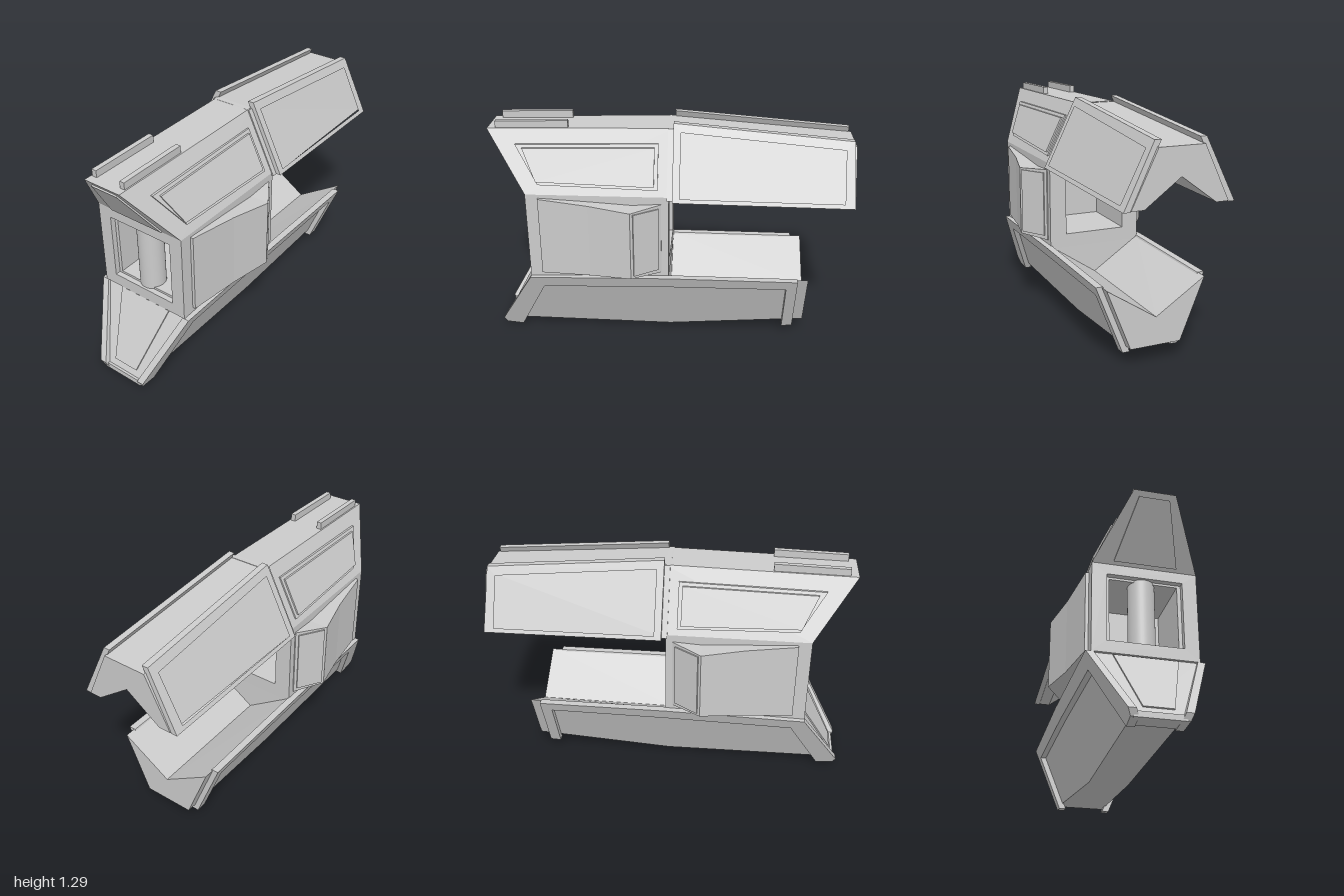
import * as THREE from 'three';
import { ConvexGeometry } from 'three/addons/geometries/ConvexGeometry.js';

const grey = new THREE.MeshStandardMaterial({ color: 0xcccccc, flatShading: true });
const smooth = new THREE.MeshStandardMaterial({ color: 0xcccccc });

// Solid through cross-sections, ordered back to front, each counterclockwise seen from +z
function loft(sections) {
  const pos = [];
  const tri = (...p) => p.forEach((v) => pos.push(...v));
  const n = sections[0].length;
  for (let i = 0; i + 1 < sections.length; i++) {
    for (let j = 0; j < n; j++) {
      const k = (j + 1) % n, s = sections[i], e = sections[i + 1];
      tri(s[j], s[k], e[k]);
      tri(s[j], e[k], e[j]);
    }
  }
  const cap = (s, back) => {
    const contour = s.map((p) => new THREE.Vector2(p[0], p[1]));
    for (const [a, b, c] of THREE.ShapeUtils.triangulateShape(contour, [])) {
      if (back) tri(s[a], s[c], s[b]); else tri(s[a], s[b], s[c]);
    }
  };
  cap(sections[0], true);
  cap(sections[sections.length - 1], false);
  const g = new THREE.BufferGeometry();
  g.setAttribute('position', new THREE.Float32BufferAttribute(pos, 3));
  g.computeVertexNormals();
  return g;
}

const toPath = (pts, Type) => new Type(pts.map(([a, b]) => new THREE.Vector2(a, b)));

function extrude(pts, hole, depth) {
  const shape = toPath(pts, THREE.Shape);
  if (hole) shape.holes.push(toPath(hole, THREE.Path));
  return new THREE.ExtrudeGeometry(shape, { depth, bevelEnabled: false });
}

// Side plate drawn in (z, y), laid on the sloping side x = base(y, z)
function sidePlate(pts, hole, base, depth) {
  const flip = (l) => l && l.map(([z, y]) => [-z, y]);
  const g = extrude(flip(pts), flip(hole), depth);
  const p = g.attributes.position;
  for (let i = 0; i < p.count; i++) {
    const z = -p.getX(i), y = p.getY(i);
    p.setXYZ(i, base(y, z) + p.getZ(i), y, z);
  }
  g.computeVertexNormals();
  return g;
}

// Mirror image in x of a geometry, with the corner order restored
function mirrored(geometry) {
  const g = geometry.index ? geometry.toNonIndexed() : geometry.clone();
  const p = g.attributes.position, a = new THREE.Vector3(), b = new THREE.Vector3();
  for (let i = 0; i < p.count; i += 3) {
    a.fromBufferAttribute(p, i + 1);
    b.fromBufferAttribute(p, i + 2);
    p.setXYZ(i, -p.getX(i), p.getY(i), p.getZ(i));
    p.setXYZ(i + 1, -b.x, b.y, b.z);
    p.setXYZ(i + 2, -a.x, a.y, a.z);
  }
  g.computeVertexNormals();
  return g;
}

const hull = (pts) => new ConvexGeometry(pts.map((p) => new THREE.Vector3(...p)));
const slab = (pts, d) => hull([...pts, ...pts.map((p) => p.map((v, i) => v + d[i]))]);
const bothSides = (pts) => pts.flatMap(([x, y, z]) => [[x, y, z], [-x, y, z]]);
const rect = (x, y0, y1) => [[-x, y0], [x, y0], [x, y1], [-x, y1]];

export function createModel() {
  const model = new THREE.Group();
  model.name = 'model';
  const add = (name, geometry, material = grey) => {
    const mesh = new THREE.Mesh(geometry, material);
    mesh.name = name;
    model.add(mesh);
    return mesh;
  };
  const addPair = (name, geometry) => {
    add(name + 'Left', geometry);
    add(name + 'Right', mirrored(geometry));
  };

  // Upper hull with sloping sides and an overhanging nose
  add('upperHull', hull(bothSides([
    [0.11, 1.235, 1], [0.11, 1.255, -0.02], [0.275, 0.92, 0.78], [0.275, 0.92, 0],
  ])));
  const noseZ = (y) => 0.78 + 0.22 * (y - 0.92) / 0.315;
  add('nosePanel', slab(bothSides([
    [0.08, 1.21, noseZ(1.21)], [0.165, 0.935, noseZ(0.935)],
  ]), [0, -0.005, 0.007]));
  const upperSide = (y) => 0.11 + 0.49 * (1.25 - y);
  addPair('upperHullPanel', sidePlate(
    [[0.84, 1.165], [0.06, 1.18], [0.06, 0.955], [0.71, 0.97]], null, upperSide, 0.012));
  addPair('upperHullInnerPanel', sidePlate(
    [[0.80, 1.15], [0.08, 1.163], [0.08, 0.972], [0.72, 0.987]], null, upperSide, 0.022));

  // Middle block, open at front and back, with a wall halfway
  const block = rect(0.275, 0.42, 0.92);
  add('middleBlock', extrude(block, rect(0.178, 0.5, 0.85), 0.75));
  add('windowFrame', extrude(block, rect(0.198, 0.487, 0.862), 0.03)).position.z = 0.75;
  const wall = add('innerWall', new THREE.BoxGeometry(0.4, 0.4, 0.04));
  wall.position.set(0, 0.67, 0.4);
  const column = add('column', new THREE.CylinderGeometry(0.07, 0.07, 0.37, 40), smooth);
  column.position.set(0, 0.675, 0.7);

  // Pointed side pods
  const pod = [[0.04, 0.28, 0.465, 0.88], [0.2, 0.385, 0.475, 0.87],
    [0.43, 0.333, 0.462, 0.885], [0.71, 0.292, 0.45, 0.9]];
  addPair('sidePod', loft(pod.map(([z, x, y0, y1]) => [
    [0.26, y0, z], [x, y0, z], [x, y1, z], [0.26, y1, z],
  ])));
  addPair('podVent', slab([
    [0.29, 0.49, 0.055], [0.29, 0.86, 0.055], [0.376, 0.49, 0.186], [0.376, 0.86, 0.186],
  ], [0.006, 0, -0.004]));

  // Rails on the roof
  const rail = new THREE.BoxGeometry(0.028, 0.05, 0.4);
  rail.rotateX(0.025);
  rail.translate(0.088, 1.254, 0.755);
  addPair('roofRail', rail);

  // Upper rear arm with an inverted V underside
  const upperSection = (z, top, yTop, wide, yLow, apex) => [
    [-wide, yLow, z], [-0.19, yLow, z], [0, apex, z], [0.19, yLow, z],
    [wide, yLow, z], [top, yTop, z], [-top, yTop, z],
  ];
  add('upperArm', loft([
    upperSection(-1, 0.122, 1.175, 0.258, 0.89, 1.03),
    upperSection(0.01, 0.118, 1.255, 0.288, 0.905, 1.05),
  ]));
  addPair('upperArmPlate', sidePlate(
    [[-0.02, 1.288], [-0.985, 1.208], [-0.995, 0.885], [-0.02, 0.905]],
    [[-0.06, 1.243], [-0.94, 1.165], [-0.94, 0.908], [-0.06, 0.925]],
    (y, z) => upperSide(y) + 0.03 * z, 0.035));

  // Lower hull and rear arm with a V trough on top
  const lowerSide = (y) => 0.27 - 0.4 * (0.42 - y);
  const lowerSection = (z, yLow, zTop, yTop, trough) => [
    [-lowerSide(yLow), yLow, z], [lowerSide(yLow), yLow, z],
    [lowerSide(yTop), yTop, zTop], [0, trough, zTop], [-lowerSide(yTop), yTop, zTop],
  ];
  add('lowerArm', loft([
    lowerSection(-0.78, 0.1, -0.78, 0.435, 0.255),
    lowerSection(0, 0.022, 0, 0.437, 0.25),
    lowerSection(0.002, 0.022, 0.002, 0.437, 0.437),
    lowerSection(0.975, 0.04, 0.765, 0.42, 0.42),
  ]));
  addPair('lowerArmRim', sidePlate(
    [[0.78, 0.42], [1, 0.05], [0.985, 0.015], [0.89, 0.002], [0.71, 0.35], [0, 0.37],
      [-0.66, 0.375], [-0.66, 0.055], [-0.72, 0.06], [-0.72, 0.437], [0, 0.44]],
    null, (y) => lowerSide(y) - 0.008, 0.04));
  const chinZ = (y) => 0.765 + 0.21 * (0.42 - y) / 0.38;
  add('chinPanel', slab(bothSides([
    [0.165, 0.412, chinZ(0.412)], [0.075, 0.075, chinZ(0.075)],
  ]), [0, 0.003, 0.007]));
  const lip = add('chinLip', new THREE.BoxGeometry(0.25, 0.03, 0.1));
  lip.position.set(0, 0.027, 0.938);

  return model;
}
